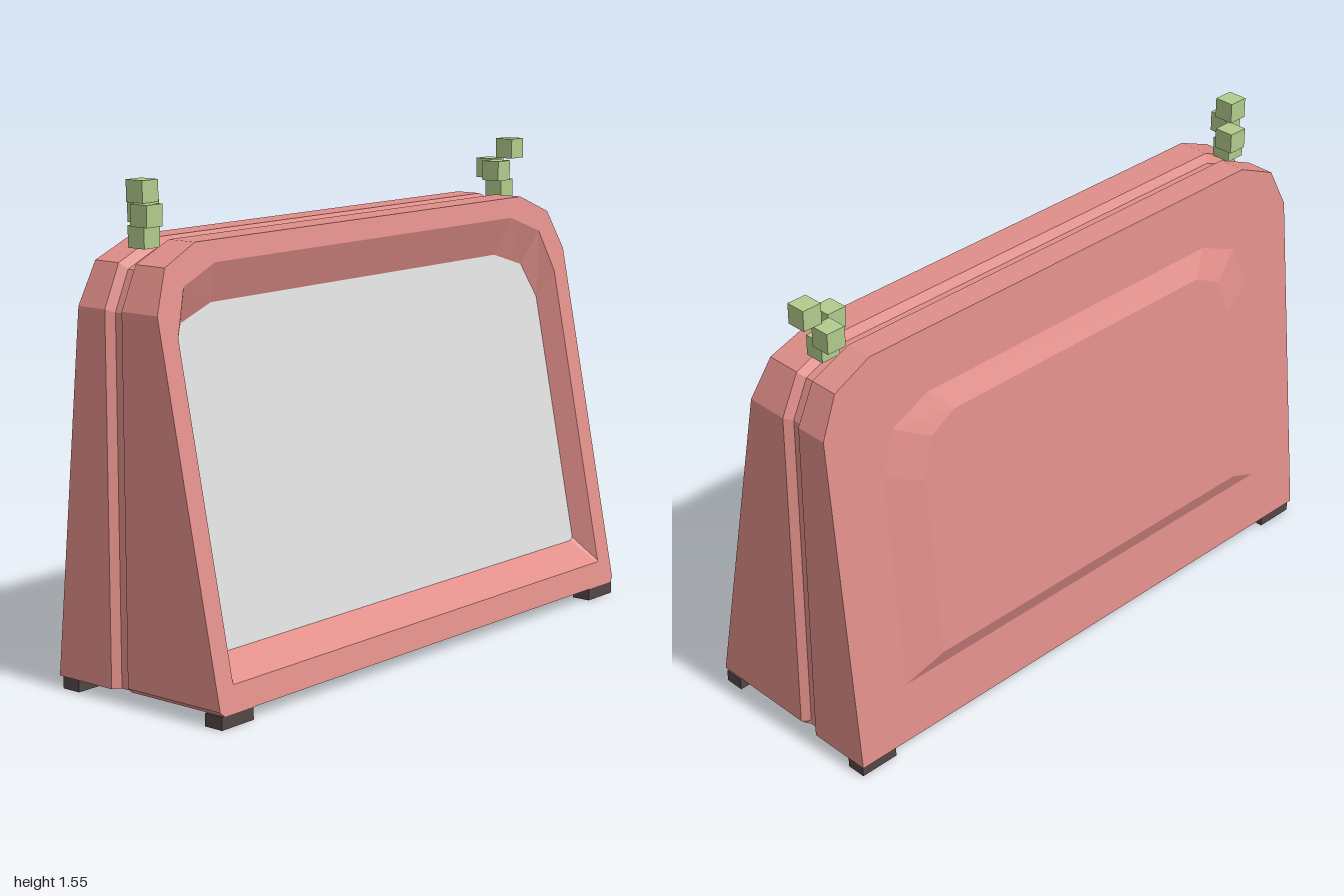
import * as THREE from 'three';

const material = (name, color) => Object.assign(new THREE.MeshStandardMaterial({ color }), { name });

// Sloping front and back planes of the case
const frontZ = y => 0.335 - 0.202 * (y - 0.04);
const backZ = y => -0.325 + 0.098 * (y - 0.04);

// Mirrors a right-hand half outline and gives each point a depth
function ring(half, depth) {
  const all = [...half, ...half.map(([x, y]) => [-x, y]).reverse()];
  return all.map(([x, y]) => new THREE.Vector3(x, y, depth(y)));
}

function facets(points) {
  const g = new THREE.BufferGeometry().setFromPoints(points);
  g.computeVertexNormals();
  return g;
}

// Flat-faced skin running from ring to ring, front to back
function skin(rings) {
  const pts = [];
  for (let r = 0; r < rings.length - 1; r++) {
    const a = rings[r], b = rings[r + 1];
    for (let i = 0; i < a.length; i++) {
      const j = (i + 1) % a.length;
      pts.push(a[i], b[i], b[j], a[i], b[j], a[j]);
    }
  }
  return pts;
}

// Flat cap over one ring, facing forward or backward
function cap(r, forward) {
  const pts = [];
  for (let i = 1; i < r.length - 1; i++) {
    pts.push(r[0], ...(forward ? [r[i], r[i + 1]] : [r[i + 1], r[i]]));
  }
  return pts;
}

export function createModel() {
  const model = new THREE.Group();
  model.name = 'retroScreen';
  const shellPink = material('shell pink', 0xe08e89);
  const screenGrey = material('screen grey', 0xdedede);
  const footBrown = material('foot dark brown', 0x544646);
  const leafGreen = material('cube green', 0xb1cb8d);

  const add = (name, geometry, mat, x = 0, y = 0, z = 0) => {
    const mesh = new THREE.Mesh(geometry, mat);
    mesh.name = name;
    mesh.position.set(x, y, z);
    model.add(mesh);
  };

  // Half outlines, from the bottom up to the top edge
  const screenEdge = [[0.885, 0.19], [0.9, 0.2], [0.9, 1.02], [0.84, 1.135], [0.7, 1.18]];
  const opening = [[0.925, 0.12], [0.93, 0.125], [0.93, 1.11], [0.875, 1.25], [0.73, 1.305]];
  const frontShell = [[0.985, 0.04], [1, 0.055], [1, 1.18], [0.94, 1.31], [0.8, 1.37]];
  const backShell = [[1, 0.04], ...frontShell.slice(1)];
  const groove = [[0.975, 0.04], [0.975, 0.055], [0.975, 1.17], [0.92, 1.29], [0.79, 1.345]];
  const bulgeBase = [[0.8, 0.24], [0.8, 0.25], [0.8, 0.97], [0.745, 1.11], [0.6, 1.17]];
  const bulgeFace = [[0.67, 0.31], [0.67, 0.32], [0.67, 0.92], [0.63, 1.05], [0.53, 1.1]];

  const screenRing = ring(screenEdge, y => frontZ(y) - 0.071);
  const bulgeRing = ring(bulgeFace, y => -0.335 + 0.101 * (y - 0.31));

  // Shell: recess, rim, front half, groove, back half and back bulge
  add('shell', facets([
    ...skin([
      screenRing,
      ring(opening, frontZ),
      ring(frontShell, frontZ),
      ring(frontShell, () => -0.037),
      ring(groove, () => -0.055),
      ring(groove, () => -0.087),
      ring(backShell, () => -0.105),
      ring(backShell, backZ),
      ring(bulgeBase, backZ),
      bulgeRing,
    ]),
    ...cap(bulgeRing, false),
  ]), shellPink);

  add('screen', facets(cap(screenRing, true)), screenGrey);

  // Four feet
  const footGeometry = new THREE.BoxGeometry(0.136, 0.04, 0.066);
  for (const x of [-0.926, 0.926]) {
    for (const z of [0.3, -0.283]) add('foot', footGeometry, footBrown, x, 0.02, z);
  }

  // Two little clusters of cubes above the top corners
  const cubeGeometry = new THREE.BoxGeometry(0.066, 0.066, 0.066);
  const cubes = [
    [-0.87, 1.383, -0.07], [-0.9, 1.45, -0.03], [-0.82, 1.45, -0.12], [-0.88, 1.517, -0.065],
    [0.865, 1.383, -0.07], [0.82, 1.45, -0.05], [0.893, 1.45, -0.13], [0.93, 1.517, -0.075],
  ];
  for (const p of cubes) add('cube', cubeGeometry, leafGreen, ...p);

  return model;
}
